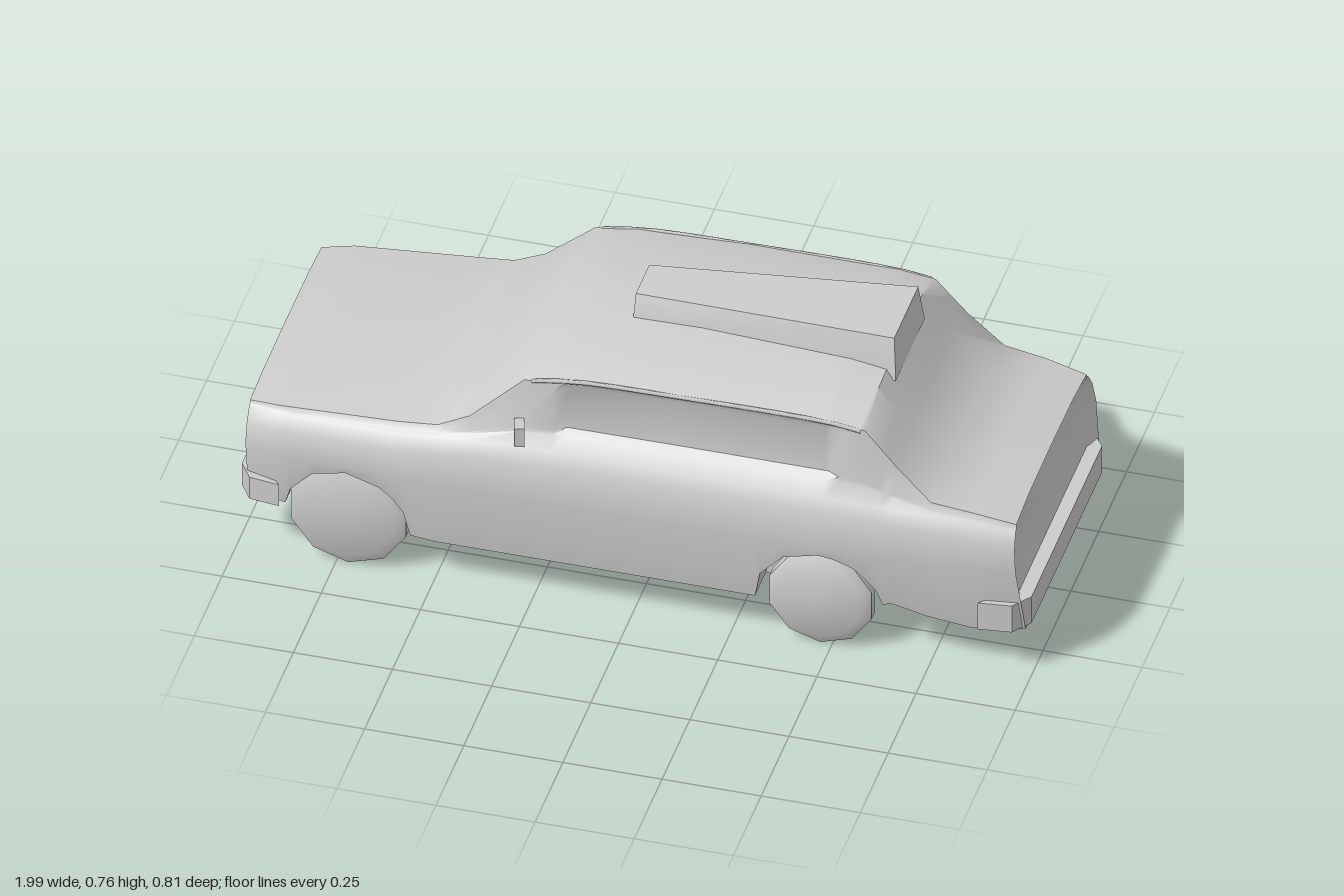
import * as THREE from 'three';
import { toCreasedNormals, mergeVertices } from 'three/addons/utils/BufferGeometryUtils.js';

const material = new THREE.MeshStandardMaterial({ color: 0xcccccc, side: THREE.DoubleSide });
const lerp = THREE.MathUtils.lerp;

// Stations along the car: x, half width, floor, belt, roof edge, roof crown, roof edge z
const KEYS = [
  [-0.98, 0.362, 0.16, 0.40, 0.41, 0.42, 0.32],
  [-0.90, 0.384, 0.15, 0.405, 0.42, 0.433, 0.335],
  [-0.60, 0.403, 0.13, 0.42, 0.44, 0.46, 0.345],
  [-0.50, 0.404, 0.12, 0.43, 0.45, 0.475, 0.345],
  [-0.42, 0.404, 0.12, 0.437, 0.49, 0.53, 0.34],
  [-0.29, 0.404, 0.12, 0.442, 0.61, 0.645, 0.32],
  [-0.18, 0.404, 0.12, 0.445, 0.63, 0.67, 0.32],
  [0.10, 0.404, 0.12, 0.445, 0.64, 0.688, 0.322],
  [0.48, 0.404, 0.12, 0.445, 0.64, 0.69, 0.322],
  [0.57, 0.401, 0.13, 0.442, 0.63, 0.682, 0.318],
  [0.65, 0.396, 0.16, 0.438, 0.54, 0.58, 0.322],
  [0.74, 0.390, 0.135, 0.432, 0.455, 0.475, 0.33],
  [0.85, 0.380, 0.115, 0.42, 0.44, 0.452, 0.325],
  [0.95, 0.362, 0.125, 0.405, 0.42, 0.432, 0.315],
];
const WHEELS = [{ x: -0.72, r: 0.152 }, { x: 0.47, r: 0.135 }];
const ARCH = 0.16;

function sample(x) {
  let i = 0;
  while (i < KEYS.length - 2 && x > KEYS[i + 1][0]) i++;
  const a = KEYS[i], b = KEYS[i + 1], t = (x - a[0]) / (b[0] - a[0]);
  return a.map((v, k) => lerp(v, b[k], t));
}

// Closed cross-section, from floor centre up the left side, over the roof and back
function section(x) {
  const [, w, floor, belt, edge, roof, edgeZ] = sample(x);
  let arch = floor;
  for (const { x: cx } of WHEELS) {
    const d = Math.abs(x - cx);
    if (d < ARCH - 0.001) arch = Math.max(floor, 0.13 + Math.sqrt(ARCH * ARCH - d * d));
  }
  const lip = Math.min(1, (arch - floor) / 0.2);
  const pan = x > -0.5 && x < 0.3 ? 0.04 : 0; // floor pan sits above the sills
  const glass = x > -0.2 && x < 0.5 ? 0.016 : 0;
  const beltZ = w - 0.035;
  const half = [
    [0, floor + pan - 0.012],
    [0.28, floor + pan],
    [0.28 + pan, arch],
    [lerp(w - 0.025, w, lip), arch],
    [w, 0.31],
    [w - 0.013, belt - 0.035],
    [beltZ, belt],
    [lerp(beltZ, edgeZ, 0.55), lerp(belt, edge, 0.18)],
    [lerp(beltZ, edgeZ, 0.62) - glass, lerp(belt, edge, 0.25)],
    [lerp(beltZ, edgeZ, 0.92) - glass, lerp(belt, edge, 0.86)],
    [edgeZ, edge],
    [edgeZ * 0.62, lerp(edge, roof, 0.8)],
    [0, roof],
  ];
  const ring = [...half, ...half.slice(1, -1).reverse().map(([z, y]) => [-z, y])];
  return ring.map(([z, y]) => [x, y, z]);
}

// Scaled copy of a section, moved along x, for the recessed ends
const shrink = (ring, sz, sy, dx, cy) =>
  ring.map(([x, y, z]) => [x + dx, cy + (y - cy) * sy, z * sz]);

function loft(rings) {
  const n = rings[0].length, pos = rings.flat(2), index = [];
  for (let i = 0; i < rings.length - 1; i++)
    for (let j = 0; j < n; j++) {
      const k = (j + 1) % n;
      const a = i * n + j, b = i * n + k, c = b + n, d = a + n;
      index.push(a, d, c, a, c, b);
    }
  // End caps around a centre point
  [0, rings.length - 1].forEach((r, end) => {
    const centre = pos.length / 3;
    pos.push(rings[r][4][0], 0.3, 0);
    for (let j = 0; j < n; j++) {
      const a = r * n + j, b = r * n + (j + 1) % n;
      index.push(centre, end ? b : a, end ? a : b);
    }
  });
  const geo = new THREE.BufferGeometry();
  geo.setAttribute('position', new THREE.Float32BufferAttribute(pos, 3));
  geo.setIndex(index);
  return toCreasedNormals(mergeVertices(geo), 0.75);
}

export function createModel() {
  const group = new THREE.Group();
  const add = (name, geo, x = 0, y = 0, z = 0) => {
    const mesh = new THREE.Mesh(geo, material);
    mesh.name = name;
    mesh.position.set(x, y, z);
    group.add(mesh);
    return mesh;
  };

  // Body shell with wheel arches, recessed grille and a tail that leans out at the bottom
  const xs = [...KEYS.map((k) => k[0]), -0.48, -0.21, 0.27, 0.51];
  for (const { x } of WHEELS)
    for (const d of [-0.16, -0.145, -0.085, 0, 0.085, 0.145, 0.16]) xs.push(x + d);
  const rings = [...new Set(xs.map((x) => +x.toFixed(3)))].sort((a, b) => a - b).map(section);
  const nose = rings[0];
  const tail = rings.pop().map(([x, y, z]) => [x + (0.432 - y) * 0.1, y, z]);
  rings.push(tail, shrink(tail, 0.88, 0.8, -0.02, 0.32));
  rings.unshift(shrink(nose, 0.86, 0.66, 0.02, 0.32), shrink(nose, 0.9, 0.74, 0, 0.32));
  add('body', loft(rings));

  // Bumpers wrap round the corners
  const bumper = (name, inner, tip, side, y0, y1, wide) => {
    const s = new THREE.Shape([
      [side, -wide], [lerp(side, tip, 0.7), -wide + 0.01], [tip, -wide + 0.06],
      [tip, wide - 0.06], [lerp(side, tip, 0.7), wide - 0.01], [side, wide],
      [inner, wide - 0.06], [inner, -wide + 0.06],
    ].map(([x, z]) => new THREE.Vector2(x, z)));
    const geo = new THREE.ExtrudeGeometry(s, { depth: y1 - y0, bevelEnabled: false });
    geo.rotateX(Math.PI / 2);
    add(name, geo, 0, y1, 0);
  };
  bumper('frontBumper', -0.94, -1.0, -0.89, 0.15, 0.215, 0.382);
  bumper('rearBumper', 0.93, 0.99, 0.87, 0.13, 0.21, 0.376);

  // Wedge-shaped roof box, wider and higher at the rear
  const wedge = new THREE.BoxGeometry();
  const p = wedge.attributes.position;
  for (let i = 0; i < p.count; i++) {
    const rear = p.getX(i) > 0, top = p.getY(i) > 0;
    p.setXYZ(i, rear ? (top ? 0.585 : 0.595) : -0.08,
      top ? (rear ? 0.762 : 0.728) : (rear ? 0.65 : 0.67),
      Math.sign(p.getZ(i)) * (rear ? (top ? 0.108 : 0.13) : (top ? 0.06 : 0.085)));
  }
  wedge.computeVertexNormals();
  add('roofBox', wedge);

  for (const side of [1, -1]) {
    const label = side > 0 ? 'left' : 'right';

    // Faceted wheels with a slightly domed outer face
    WHEELS.forEach(({ x, r }, i) => {
      const profile = [[0, -0.03], [r * 0.9, -0.03], [r, -0.015], [r, 0.02], [r * 0.8, 0.035], [0, 0.042]]
        .map(([px, py]) => new THREE.Vector2(px, py));
      const geo = toCreasedNormals(new THREE.LatheGeometry(profile, 10), 0.7);
      geo.rotateX(side * Math.PI / 2);
      add(label + (i ? 'RearWheel' : 'FrontWheel'), geo, x, r, side * 0.342);
    });

    // Door mirrors
    const mirror = add(label + 'Mirror', new THREE.BoxGeometry(0.025, 0.055, 0.045), -0.29, 0.48, side * 0.36);
    mirror.rotation.y = side * 0.3;

    // Drip rail above the side windows
    const rail = new THREE.CatmullRomCurve3([[-0.27, 0.612], [-0.16, 0.63], [0.1, 0.637], [0.48, 0.637], [0.56, 0.627]]
      .map(([x, y]) => new THREE.Vector3(x, y, side * 0.319)));
    add(label + 'DripRail', new THREE.TubeGeometry(rail, 12, 0.006, 5));

    // Headlamps set into the grille
    const lamp = new THREE.CylinderGeometry(0.045, 0.045, 0.02, 10);
    lamp.rotateZ(Math.PI / 2);
    add(label + 'Headlamp', lamp, -0.965, 0.325, side * 0.24);
  }
  return group;
}
